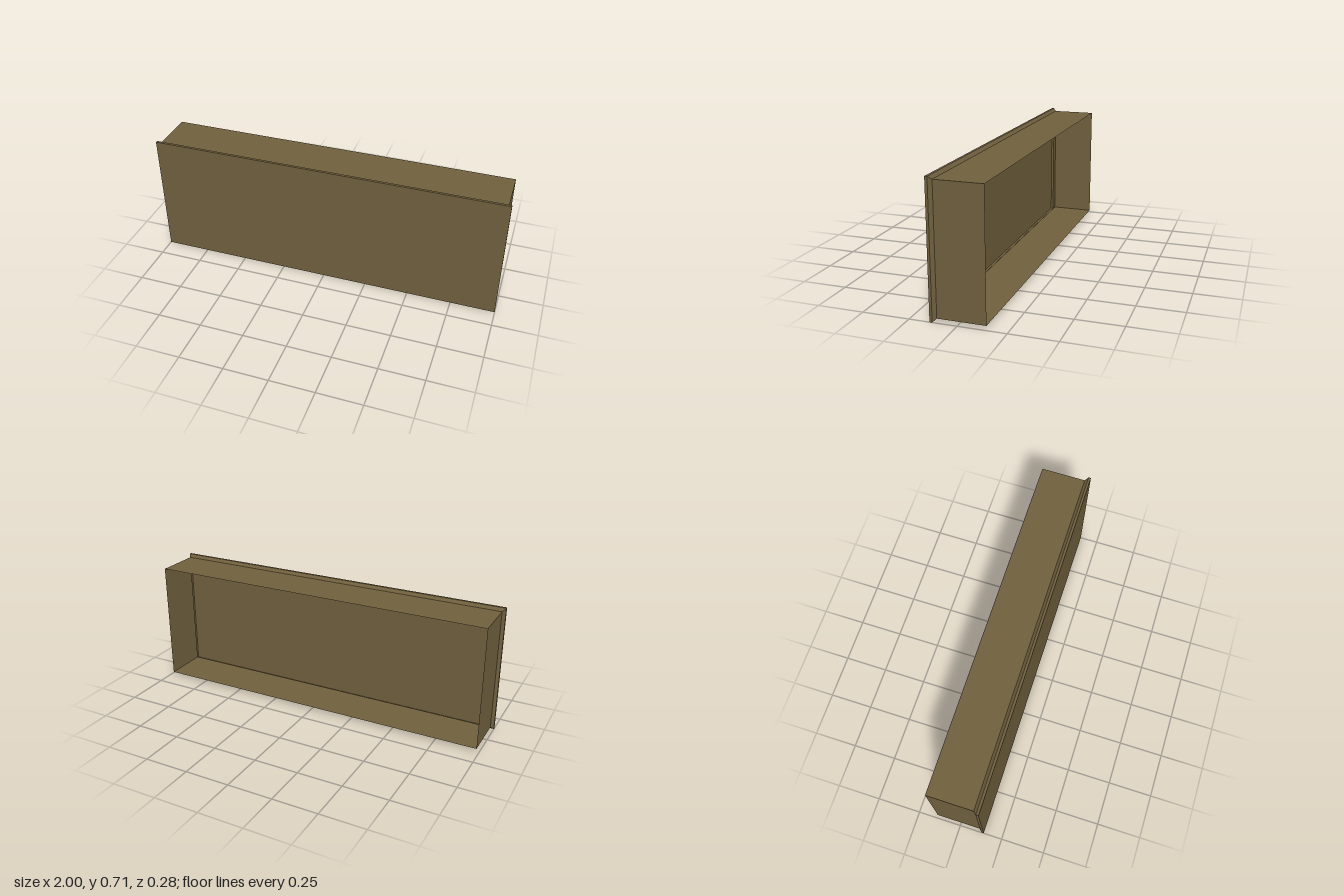
import * as THREE from 'three';

const HEIGHT = 0.715;

// Four corners of a rectangular section, counter-clockwise seen from +z
function section(z, inset) {
  const x = 1 - inset, y0 = inset, y1 = HEIGHT - inset;
  return [[-x, y0, z], [x, y0, z], [x, y1, z], [-x, y1, z]];
}

// Flat-sided shell through sections ordered front to back; optionally closed at the front
function shell(name, sections, material, capped) {
  const points = [];
  const quad = (a, b, c, d) => points.push(...a, ...b, ...c, ...a, ...c, ...d);
  if (capped) quad(...sections[0]);
  for (let s = 0; s < sections.length - 1; s++) {
    const front = sections[s], back = sections[s + 1];
    for (let i = 0; i < 4; i++) {
      const j = (i + 1) % 4;
      quad(front[i], back[i], back[j], front[j]);
    }
  }
  const geometry = new THREE.BufferGeometry();
  geometry.setAttribute('position', new THREE.Float32BufferAttribute(points, 3));
  geometry.computeVertexNormals();
  const mesh = new THREE.Mesh(geometry, material);
  mesh.name = name;
  return mesh;
}

export function createModel() {
  const wood = new THREE.MeshStandardMaterial({ color: 0x6f5f3d, side: THREE.DoubleSide });
  wood.name = 'brown wood';

  const drawer = new THREE.Group();
  drawer.name = 'drawer';

  // Front panel with a square rim and a bevel running back to the walls
  drawer.add(shell('frontPanel',
    [section(0.142, 0), section(0.128, 0), section(0.111, 0.016)], wood, true));

  // Thin walls, open at the back
  drawer.add(shell('drawerWalls',
    [section(0.111, 0.016), section(-0.142, 0.016)], wood, false));

  return drawer;
}
